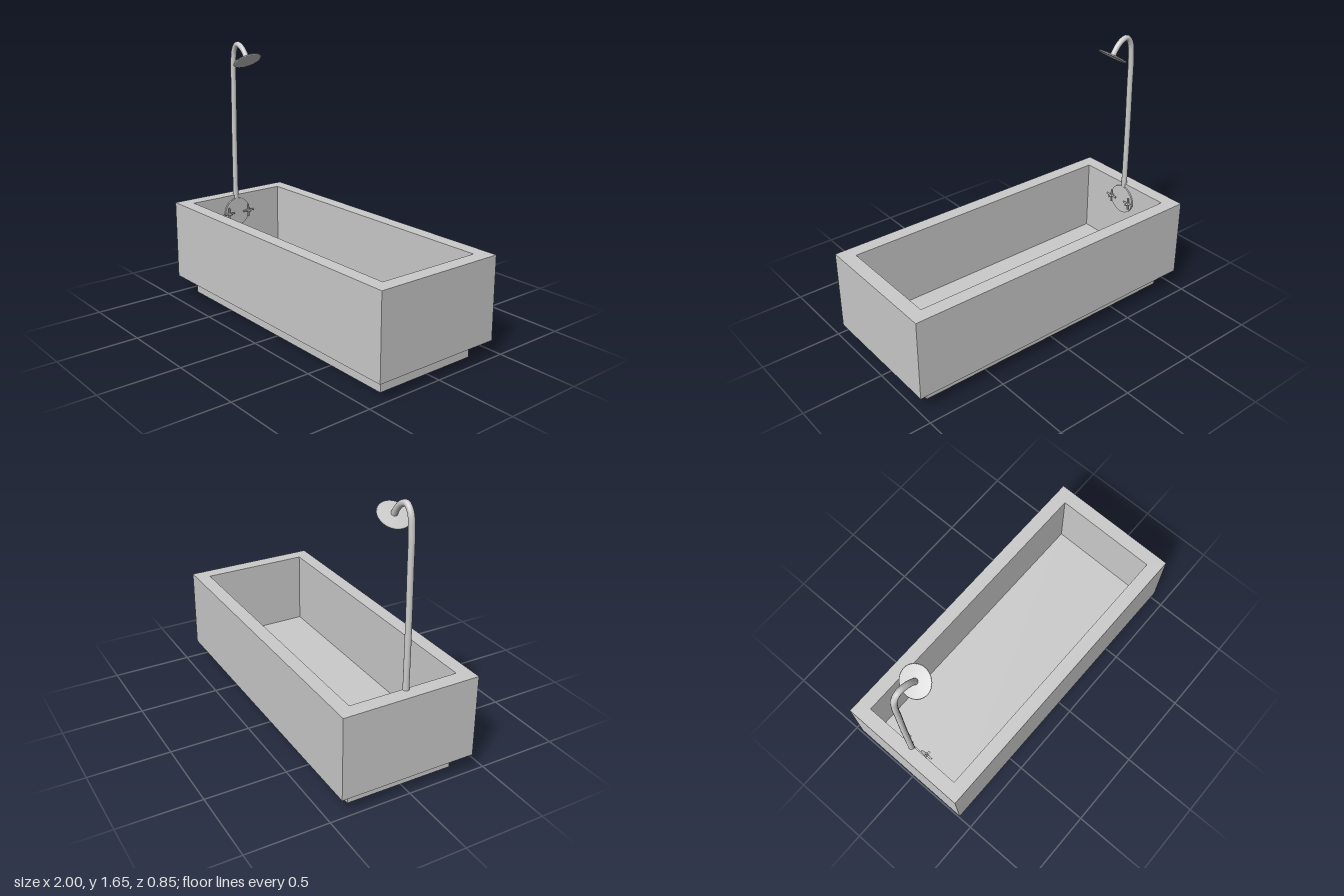
import * as THREE from 'three';

const material = new THREE.MeshStandardMaterial({ color: 0xcccccc });

function add(parent, name, geometry, x = 0, y = 0, z = 0) {
  const mesh = new THREE.Mesh(geometry, material);
  mesh.name = name;
  mesh.position.set(x, y, z);
  parent.add(mesh);
  return mesh;
}

function rectangle(PathType, halfX, halfZ) {
  return new PathType([
    new THREE.Vector2(-halfX, -halfZ), new THREE.Vector2(halfX, -halfZ),
    new THREE.Vector2(halfX, halfZ), new THREE.Vector2(-halfX, halfZ),
  ]);
}

function createTub() {
  const tub = new THREE.Group();
  tub.name = 'bathtub';
  const bottom = 0.11, floor = 0.15, top = 0.617;

  // Four walls as one hollow frame
  const outline = rectangle(THREE.Shape, 0.998, 0.422);
  outline.holes.push(rectangle(THREE.Path, 0.91, 0.336));
  const walls = new THREE.ExtrudeGeometry(outline, { depth: top - bottom, bevelEnabled: false });
  walls.rotateX(-Math.PI / 2);
  add(tub, 'tubWalls', walls, 0, bottom, 0);

  // Floor slab and recessed plinth
  add(tub, 'tubFloor', new THREE.BoxGeometry(1.82, floor - bottom, 0.672), 0, (floor + bottom) / 2, 0);
  add(tub, 'plinth', new THREE.BoxGeometry(1.814, bottom, 0.672), 0, bottom / 2, 0);
  tub.rotation.y = -0.005;
  return tub;
}

function createShower() {
  const shower = new THREE.Group();
  shower.name = 'shower';

  // Riser pipe bending over into a hook
  const path = new THREE.CatmullRomCurve3([
    [-0.918, 0.52], [-0.917, 0.8], [-0.915, 1.05], [-0.91, 1.3], [-0.906, 1.5],
    [-0.892, 1.59], [-0.856, 1.629], [-0.805, 1.61], [-0.768, 1.572], [-0.747, 1.538],
  ].map(([x, y]) => new THREE.Vector3(x, y, 0)));
  add(shower, 'riserPipe', new THREE.TubeGeometry(path, 80, 0.018, 16));

  // Thin lens-edged spray head
  const profile = [[0, -0.006], [0.088, -0.006], [0.093, 0], [0.088, 0.005], [0, 0.008]]
    .map(([r, y]) => new THREE.Vector2(r, y));
  const head = add(shower, 'showerHead', new THREE.LatheGeometry(profile, 40), -0.747, 1.535, 0);
  head.rotation.z = 0.57;
  return shower;
}

function createTaps() {
  const taps = new THREE.Group();
  taps.name = 'taps';

  // Round plate on the inner end wall
  const plate = new THREE.CylinderGeometry(0.095, 0.095, 0.012, 40).rotateZ(Math.PI / 2);
  add(taps, 'tapPlate', plate, -0.906, 0.5, 0);

  // Pair of cross handles on short stems
  for (const side of [-1, 1]) {
    const handle = new THREE.Group();
    handle.name = side > 0 ? 'frontTap' : 'backTap';
    handle.position.set(-0.884, 0.5, side * 0.077);
    const stem = new THREE.CylinderGeometry(0.007, 0.007, 0.05, 12).rotateZ(Math.PI / 2);
    add(handle, 'stem', stem);
    const bar = new THREE.CylinderGeometry(0.006, 0.006, 0.08, 12);
    add(handle, 'uprightBar', bar);
    add(handle, 'crossBar', bar).rotation.x = Math.PI / 2;
    taps.add(handle);
  }
  return taps;
}

export function createModel() {
  const model = new THREE.Group();
  model.name = 'bathtubWithShower';
  model.add(createTub(), createShower(), createTaps());
  return model;
}
